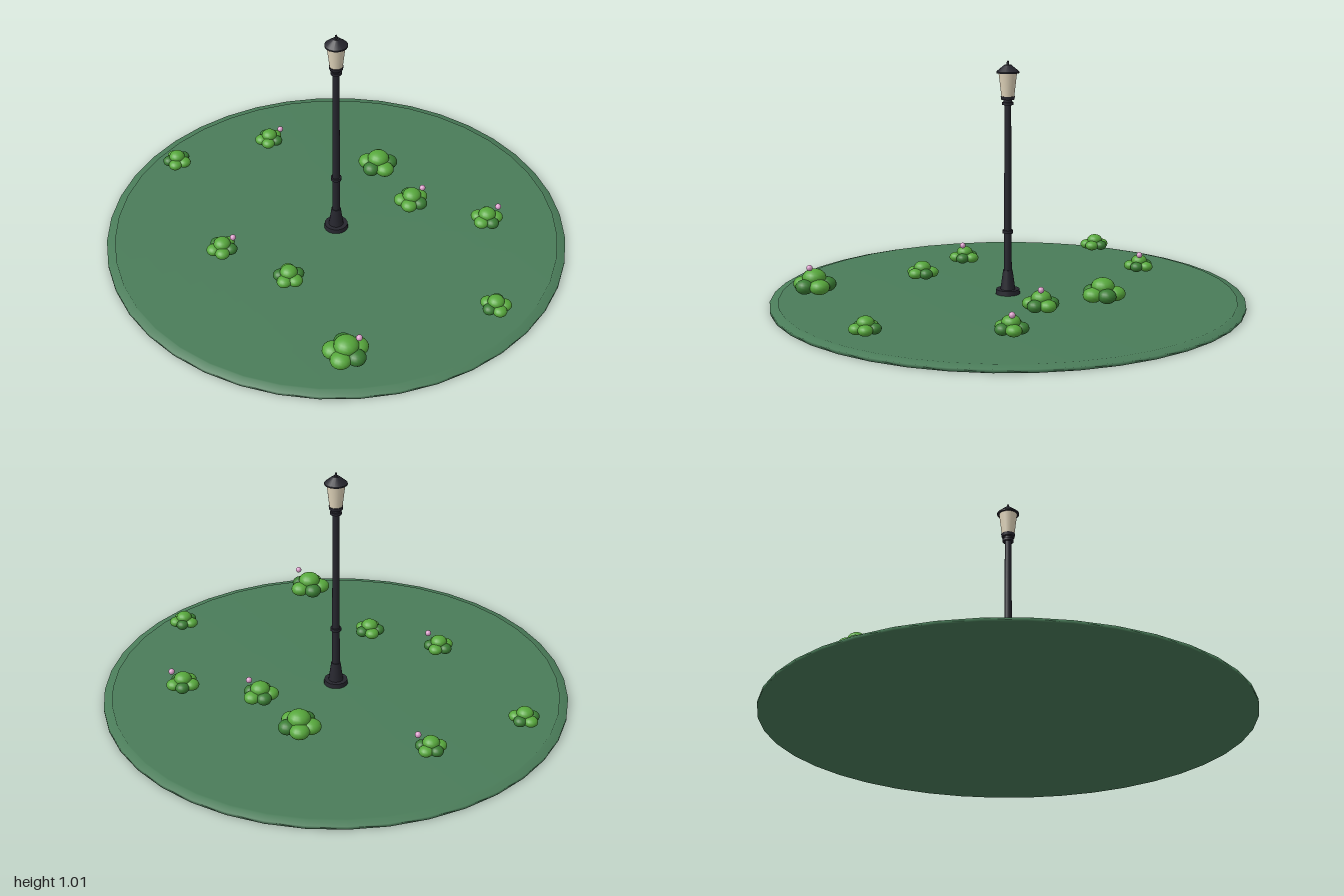
import * as THREE from 'three';

const mat = (name, color, side = THREE.FrontSide) => {
  const m = new THREE.MeshStandardMaterial({ color, side });
  m.name = name;
  return m;
};

export function createModel() {
  const grass = mat('grass green', 0x4a7c59);
  const iron = mat('dark iron', 0x26262e);
  const glass = mat('cream glass', 0xe2d6bc);
  const leafLight = mat('light leaf', 0x57a83c);
  const leafDark = mat('dark leaf', 0x3a7d34);
  const petal = mat('pink petal', 0xdb9fcb);

  const model = new THREE.Group();
  model.name = 'lampGarden';

  const add = (parent, name, geometry, material, x = 0, y = 0, z = 0) => {
    const mesh = new THREE.Mesh(geometry, material);
    mesh.name = name;
    mesh.position.set(x, y, z);
    parent.add(mesh);
    return mesh;
  };
  const lathe = (pts, segments) =>
    new THREE.LatheGeometry(pts.map(([r, y]) => new THREE.Vector2(r, y)), segments);
  // Upright cylinder or cone given by its bottom and top heights
  const column = (parent, name, rBottom, rTop, y0, y1, material = iron) =>
    add(parent, name, new THREE.CylinderGeometry(rTop, rBottom, y1 - y0, 16), material, 0, (y0 + y1) / 2, 0);

  // Round lawn with a low step near the rim
  add(model, 'lawn', lathe([[0, 0], [1, 0], [1, 0.013], [0.965, 0.015], [0.965, 0.022], [0, 0.022]], 40), grass);

  // Lamp post
  const lamp = new THREE.Group();
  lamp.name = 'lampPost';
  model.add(lamp);
  column(lamp, 'basePlate', 0.053, 0.05, 0.015, 0.042);
  column(lamp, 'baseCone', 0.032, 0.02, 0.042, 0.125);
  column(lamp, 'pole', 0.017, 0.014, 0.12, 0.84);
  column(lamp, 'poleRing', 0.023, 0.023, 0.284, 0.297);
  column(lamp, 'lowerCollar', 0.024, 0.024, 0.828, 0.839);
  column(lamp, 'collarNeck', 0.018, 0.018, 0.838, 0.852);
  column(lamp, 'lanternSeat', 0.028, 0.03, 0.85, 0.864);
  column(lamp, 'lanternGlass', 0.027, 0.039, 0.862, 0.963, glass);
  column(lamp, 'roofEave', 0.048, 0.048, 0.96, 0.966);
  column(lamp, 'roof', 0.048, 0.014, 0.966, 0.994);
  column(lamp, 'finial', 0.006, 0.004, 0.99, 1.01);

  // Bushes: x, z, scale, angle of the first lobe, flower [x, y, z]
  const bushes = [
    [-0.396, -0.75, 0.95, 130],
    [0.048, -0.668, 0.95, 200, [0.09, 0.123, -0.636]],
    [0.37, -0.225, 1.32, 305],
    [-0.513, -0.096, 0.98, 190, [-0.476, 0.128, -0.064]],
    [0.353, 0.07, 1.12, 212, [0.39, 0.137, 0.096]],
    [-0.364, 0.21, 1.0, 150],
    [0.56, 0.348, 1.02, 235, [0.6, 0.128, 0.37]],
    [-0.4, 0.71, 1.36, 218, [-0.364, 0.157, 0.747]],
    [0.257, 0.807, 0.94, 100],
  ];
  const ball = new THREE.SphereGeometry(1, 16, 12);
  const groundGap = 0.042;

  bushes.forEach(([x, z, s, start, flower]) => {
    const bush = new THREE.Group();
    bush.name = 'bush';
    bush.position.set(x, groundGap, z);
    bush.scale.setScalar(s);
    model.add(bush);
    add(bush, 'crown', ball, leafLight, 0, 0.046, 0).scale.set(0.037, 0.027, 0.037);
    for (let i = 0; i < 5; i++) {
      const a = THREE.MathUtils.degToRad(start + i * 72);
      const r = i % 2 ? 0.029 : 0.032;
      add(bush, 'lobe', ball, i % 2 ? leafDark : leafLight, Math.cos(a) * 0.039, 0.023, Math.sin(a) * 0.039)
        .scale.set(r, 0.023, r);
    }
    if (flower) add(model, 'flower', ball, petal, ...flower).scale.setScalar(0.013);
  });

  return model;
}
